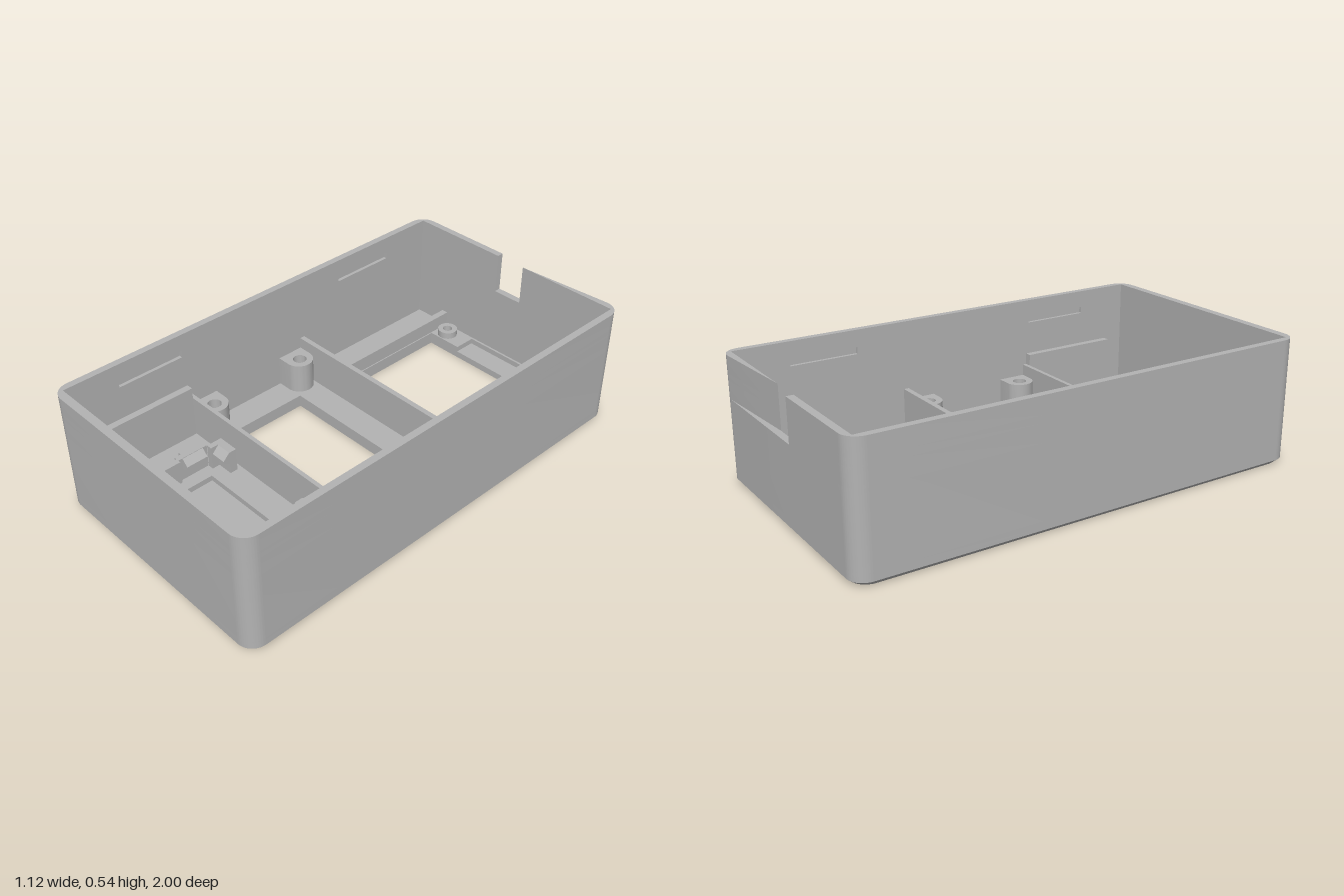
import * as THREE from 'three';
import { toCreasedNormals } from 'three/addons/utils/BufferGeometryUtils.js';

const W = 0.56, L = 1, H = 0.54, R = 0.07;      // outer half width, half length, height, corner radius
const IX = 0.53, IB = -0.97, IF = 0.965;        // inside faces: sides, back, front
const FLOOR = 0.055, RECESS = 0.03, CHAMFER = 0.02;
const NOTCH = [-0.075, 0.065], NOTCH_Y = 0.36;

export function createModel() {
  const model = new THREE.Group();
  model.name = 'enclosure';
  const plastic = new THREE.MeshStandardMaterial({ color: 0xb3b3b3 });
  plastic.name = 'grey plastic';

  const add = (name, geometry) => {
    const mesh = new THREE.Mesh(geometry, plastic);
    mesh.name = name;
    model.add(mesh);
    return mesh;
  };

  // Plan outline (x, z) raised from y0 to y1
  const slabGeometry = (shape, y0, y1) => {
    const g = new THREE.ExtrudeGeometry(shape, { depth: y1 - y0, bevelEnabled: false, curveSegments: 12 });
    g.rotateX(Math.PI / 2);
    g.translate(0, y1, 0);
    return g;
  };
  const slab = (name, shape, y0, y1) => add(name, toCreasedNormals(slabGeometry(shape, y0, y1), 0.5));
  const block = (name, x0, x1, y0, y1, z0, z1) => {
    const mesh = add(name, new THREE.BoxGeometry(Math.abs(x1 - x0), y1 - y0, z1 - z0));
    mesh.position.set((x0 + x1) / 2, (y0 + y1) / 2, (z0 + z1) / 2);
    return mesh;
  };
  const poly = (points, Type = THREE.Path) => new Type(points.map(([x, z]) => new THREE.Vector2(x, z)));
  const rect = (x0, x1, z0, z1) => poly([[x0, z0], [x1, z0], [x1, z1], [x0, z1]]);

  // Rounded outer edge, running from the right of the notch round to its left
  const outline = () => {
    const s = new THREE.Shape();
    s.moveTo(NOTCH[1], -L);
    s.absarc(W - R, R - L, R, -Math.PI / 2, 0, false);
    s.absarc(W - R, L - R, R, 0, Math.PI / 2, false);
    s.absarc(R - W, L - R, R, Math.PI / 2, Math.PI, false);
    s.absarc(R - W, R - L, R, Math.PI, Math.PI * 1.5, false);
    s.lineTo(NOTCH[0], -L);
    return s;
  };

  // Floor with two windows; its upper layer also holds the shallow recesses
  const frontWindow = () => rect(-0.4, 0.36, -0.075, 0.29);
  const rearWindow = () => rect(-0.345, 0.34, -0.86, -0.36);
  const slottedWindow = () => poly([
    [-0.345, -0.86], [-0.18, -0.86], [-0.18, -0.96], [0.175, -0.96], [0.175, -0.86], [0.34, -0.86],
    [0.34, -0.36], [0.175, -0.36], [0.175, -0.34], [-0.18, -0.34], [-0.18, -0.36], [-0.345, -0.36],
  ]);
  const floorShape = (...holes) => {
    const s = outline();
    s.holes.push(...holes);
    return s;
  };

  // Bottom layer, outer edge drawn in for the chamfer
  const base = slabGeometry(floorShape(frontWindow(), rearWindow()), 0, CHAMFER);
  const p = base.attributes.position;
  for (let i = 0; i < p.count; i++) {
    const x = p.getX(i), z = p.getZ(i);
    if (p.getY(i) < 0.001 && (Math.abs(x) > 0.48 || Math.abs(z) > 0.9)) {
      p.setX(i, x * (W - CHAMFER) / W);
      p.setZ(i, z * (L - CHAMFER) / L);
    }
  }
  add('chamferedBase', toCreasedNormals(base, 0.5));
  slab('floorLower', floorShape(frontWindow(), rearWindow()), CHAMFER, RECESS);
  slab('floorUpper', floorShape(frontWindow(), slottedWindow(), rect(-0.24, 0.235, 0.54, 0.87)), RECESS, FLOOR);

  // Outer walls: full ring, then layers open at the cable notch, one with lid grooves
  const ring = outline();
  ring.holes.push(rect(-IX, IX, IB, IF));
  slab('lowerWalls', ring, FLOOR, NOTCH_Y);

  const openRing = (groove) => {
    const s = outline();
    s.lineTo(NOTCH[0], IB);
    const inside = [];
    for (const c of [-0.58, 0.58]) {
      inside.push([IX, c - 0.15], [IX + groove, c - 0.15], [IX + groove, c + 0.15], [IX, c + 0.15]);
    }
    const side = groove ? inside : [];
    s.lineTo(-IX, IB);
    side.forEach(([x, z]) => s.lineTo(-x, z));
    s.lineTo(-IX, IF);
    s.lineTo(IX, IF);
    [...side].reverse().forEach(([x, z]) => s.lineTo(x, z));
    s.lineTo(IX, IB);
    s.lineTo(NOTCH[1], IB);
    return s;
  };
  slab('upperWalls', openRing(0), NOTCH_Y, 0.435);
  slab('groovedWalls', openRing(0.015), 0.435, 0.465);
  slab('rimWalls', openRing(0), 0.465, H);

  // Cross partitions
  block('rearPartition', -IX, IX, FLOOR, 0.24, -0.22, -0.197);
  block('frontPartition', -IX, IX, FLOOR, 0.24, 0.4, 0.418);

  // Low frame around the rear window
  block('rearFrameRight', -0.38, -0.35, FLOOR, 0.12, IB, -0.22);
  block('rearFrameLeft', 0.345, 0.375, FLOOR, 0.12, IB, -0.22);
  block('rearFrameFront', -0.35, 0.345, FLOOR, 0.12, -0.25, -0.22);

  for (const s of [-1, 1]) {
    // Tall screw posts joined to the side walls
    for (const z of [-0.135, 0.338]) {
      const post = poly([[0.47, z - 0.062], [IX, z - 0.062], [IX, z + 0.062]], THREE.Shape);
      post.absarc(0.47, z, 0.062, Math.PI / 2, Math.PI * 1.5, false);
      post.holes.push(new THREE.Path().absarc(0.465, z, 0.03, 0, Math.PI * 2, false));
      const mesh = slab('screwPost', post, FLOOR, 0.19);
      if (s < 0) mesh.rotation.y = Math.PI, mesh.position.z = 2 * z;
    }

    // Small bosses at the corners of the rear window
    for (const z of [-0.91, -0.31]) {
      const boss = new THREE.Shape().absarc(s * 0.29, z, 0.045, 0, Math.PI * 2, false);
      boss.holes.push(new THREE.Path().absarc(s * 0.29, z, 0.022, 0, Math.PI * 2, false));
      slab('windowBoss', boss, FLOOR, 0.085);
    }

    // Side rails in the front bay
    block('sideRail', s * 0.5, s * IX, FLOOR, 0.29, 0.418, 0.87);

    // Module holder: side wall, stepped side clip and corner hook
    block('holderSide', s * 0.287, s * 0.313, FLOOR, 0.16, 0.65, 0.95);
    block('sideClip', s * 0.3, s * 0.325, FLOOR, 0.16, 0.51, 0.65);
    block('sideClipRib', s * 0.32, s * 0.34, FLOOR, 0.16, 0.54, 0.62);
    block('hookSide', s * 0.272, s * 0.297, FLOOR, 0.16, 0.44, 0.51);
    block('hookBack', s * 0.2, s * 0.275, FLOOR, 0.16, 0.44, 0.475);
  }
  block('holderFront', -0.313, 0.313, FLOOR, 0.16, 0.92, 0.95);

  // Sloping snap lips, their point facing the held module
  const lip = (length, x, z, turn) => {
    const g = new THREE.ExtrudeGeometry(poly([[0, 0], [0.03, 0.02], [0.03, 0.03], [0, 0.06]], THREE.Shape),
      { depth: length, bevelEnabled: false });
    g.translate(0, 0, -length / 2);
    const mesh = add('snapLip', g);
    mesh.position.set(x, 0.1, z);
    mesh.rotation.y = turn;
  };
  lip(0.575, 0, 0.92, Math.PI / 2);
  for (const s of [-1, 1]) {
    lip(0.07, s * 0.235, 0.475, -Math.PI / 2);
    lip(0.1, s * 0.302, 0.58, s < 0 ? 0 : Math.PI);
  }
  return model;
}
